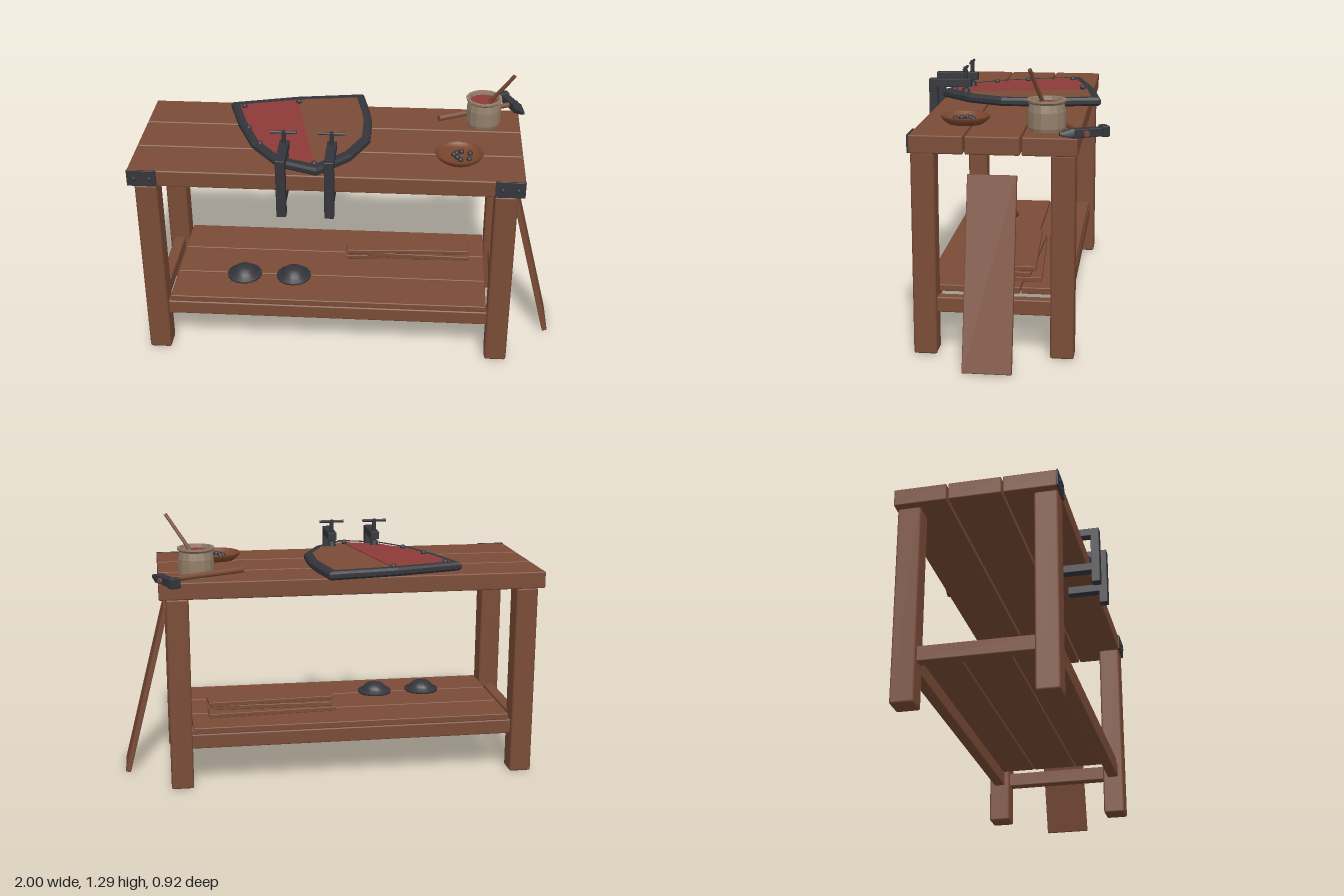
import * as THREE from 'three';
import { RoundedBoxGeometry } from 'three/addons/geometries/RoundedBoxGeometry.js';

const mat = (name, color, extra = {}) => new THREE.MeshStandardMaterial({ name, color, ...extra });

export function createModel() {
  const wood = mat('wood', 0x7a4b36);
  const bowlWood = mat('bowlWood', 0x78452c);
  const iron = mat('iron', 0x34353b);
  const red = mat('redPaint', 0x8c3a38);
  const clay = mat('clay', 0x917e68, { flatShading: true, side: THREE.DoubleSide });
  const root = new THREE.Group();
  root.name = 'workbench';

  const add = (name, geo, m, x = 0, y = 0, z = 0, parent = root) => {
    const mesh = new THREE.Mesh(geo, m);
    mesh.name = name;
    mesh.position.set(x, y, z);
    parent.add(mesh);
    return mesh;
  };
  // Box given by its limits, with softened edges
  const block = (name, m, [x0, x1], [y0, y1], [z0, z1], parent = root, r = 0.006) =>
    add(name, new RoundedBoxGeometry(x1 - x0, y1 - y0, z1 - z0, 1, r), m,
      (x0 + x1) / 2, (y0 + y1) / 2, (z0 + z1) / 2, parent);
  // Round rod between two points
  const rod = (name, m, a, b, r0, r1 = r0, sides = 8, parent = root) => {
    const p = new THREE.Vector3(...a), q = new THREE.Vector3(...b);
    const d = q.clone().sub(p);
    const mesh = add(name, new THREE.CylinderGeometry(r1, r0, d.length(), sides), m, 0, 0, 0, parent);
    mesh.position.copy(p).add(q).multiplyScalar(0.5);
    mesh.quaternion.setFromUnitVectors(new THREE.Vector3(0, 1, 0), d.normalize());
    return mesh;
  };
  const lathe = (pts, sides) =>
    new THREE.LatheGeometry(pts.map(([x, y]) => new THREE.Vector2(x, y)), sides);

  // Table top, legs and lower frame
  for (const z of [[-0.335, -0.097], [-0.09, 0.147], [0.154, 0.39]])
    block('topPlank', wood, [-1, 0.81], [0.92, 1], z);
  for (const x of [[-0.97, -0.865], [0.675, 0.78]]) {
    for (const z of [[-0.325, -0.22], [0.283, 0.388]]) block('leg', wood, x, [0, 0.92], z, root, 0.01);
    const c = (x[0] + x[1]) / 2;
    block('sideRail', wood, [c - 0.027, c + 0.027], [0.19, 0.26], [-0.23, 0.29]);
  }
  for (const z of [-0.272, 0.335])
    block('longRail', wood, [-0.87, 0.68], [0.19, 0.26], [z - 0.027, z + 0.027]);
  for (let i = 0; i < 3; i++) {
    const z = -0.295 + i * 0.219;
    block('shelfPlank', wood, [-0.855, 0.67], [0.26, 0.29], [z, z + 0.214], root, 0.004);
  }

  // Iron corner plates on the front edge
  for (const x of [-0.932, 0.742]) {
    block('cornerPlate', iron, [x - 0.068, x + 0.068], [0.922, 1.002], [0.387, 0.396], root, 0.002);
    for (const dx of [-0.035, 0.035]) {
      const bolt = add('plateBolt', new THREE.SphereGeometry(0.01, 8, 6), iron, x + dx, 0.96, 0.396);
      bolt.scale.z = 0.7;
    }
  }

  // Plank leaning on the right end
  const lean = add('leaningPlank', new RoundedBoxGeometry(0.025, 0.85, 0.215, 1, 0.004), wood, 0.881, 0.416, 0.032);
  lean.rotation.z = 0.25;

  // Stacked boards on the shelf
  [[0.28, 0.302, -0.09, 0.05, 0.62], [0.29, 0.327, -0.065, -0.03, 0.61], [0.285, 0.351, -0.065, 0.045, 0.61]]
    .forEach(([x, y, z, turn, len]) => {
      const b = add('stackedBoard', new RoundedBoxGeometry(len, 0.021, 0.12, 1, 0.003), wood, x, y, z);
      b.rotation.y = turn;
    });

  // Iron domes on the shelf
  for (const x of [-0.52, -0.275])
    add('ironDome', lathe([[0, 0], [0.085, 0], [0.085, 0.01], [0.063, 0.013], [0.058, 0.028],
      [0.042, 0.043], [0.022, 0.05], [0, 0.052]], 16), iron, x, 0.29, 0.15);

  // Shield: outline as (x, z), first entry and seventh lie on the dividing line
  const outline = [[-0.29, -0.345], [0.04, -0.395], [0.08, -0.21], [0.096, -0.1], [0.096, 0.08], [0.02, 0.25],
    [-0.13, 0.4], [-0.325, 0.325], [-0.455, 0.16], [-0.545, -0.05], [-0.612, -0.26]];
  const inset = (s) => outline.map(([x, z]) =>
    new THREE.Vector2(-0.23 + (x + 0.23) * s, -(z * s)));
  const slab = (shape, depth, bevel = 0) => new THREE.ExtrudeGeometry(shape, {
    depth: depth - 2 * bevel, bevelEnabled: bevel > 0, bevelSize: bevel,
    bevelThickness: bevel, bevelOffset: -bevel, bevelSegments: 1,
  }).translate(0, 0, bevel).rotateX(-Math.PI / 2);
  const shield = new THREE.Group();
  shield.name = 'shield';
  root.add(shield);
  add('shieldBoard', slab(new THREE.Shape(inset(0.96)), 0.026), wood, 0, 1.003, 0, shield);
  const rim = new THREE.Shape(inset(1));
  rim.holes.push(new THREE.Path(inset(0.91)));
  add('shieldRim', slab(rim, 0.04, 0.011), iron, 0, 1.001, 0, shield);
  const inner = inset(0.93);
  add('paintedHalf', slab(new THREE.Shape([inner[0], ...inner.slice(6)]), 0.004), red, 0, 1.029, 0, shield);
  for (const [x, z] of [[-0.54, -0.22], [-0.278, -0.288], [-0.487, 0.01], [-0.415, 0.163], [-0.145, 0.34]])
    add('shieldRivet', new THREE.SphereGeometry(0.014, 10, 8), iron, x, 1.038, z, shield);

  // Two screw clamps on the front edge
  for (const x of [-0.288, -0.07]) {
    const clamp = new THREE.Group();
    clamp.name = 'clamp';
    clamp.position.x = x;
    root.add(clamp);
    const w = [-0.022, 0.022];
    block('clampSpine', iron, w, [0.817, 1.105], [0.414, 0.455], clamp, 0.003);
    block('clampUpperArm', iron, w, [1.066, 1.105], [0.245, 0.43], clamp, 0.003);
    block('clampLowerArm', iron, w, [0.878, 0.918], [0.26, 0.43], clamp, 0.003);
    rod('clampScrew', iron, [0, 1.04, 0.275], [0, 1.165, 0.275], 0.01, 0.01, 8, clamp);
    rod('clampPad', iron, [0, 1.034, 0.275], [0, 1.058, 0.275], 0.023, 0.018, 10, clamp);
    rod('clampHandle', iron, [-0.06, 1.158, 0.275], [0.06, 1.158, 0.275], 0.007, 0.007, 8, clamp);
  }

  // Shallow bowl of nails
  add('bowl', lathe([[0, 0], [0.08, 0], [0.1, 0.015], [0.112, 0.032], [0.108, 0.037], [0.098, 0.032],
    [0.085, 0.016], [0, 0.012]], 24), bowlWood, 0.512, 1, 0.185);
  for (const [x, z] of [[-0.025, -0.005], [0.05, -0.02], [0.005, 0.045], [-0.01, 0.02], [0.045, 0.035], [-0.012, -0.02], [0.01, -0.035]])
    add('nailHead', new THREE.SphereGeometry(0.013, 8, 6), iron, 0.512 + x, 1.02, 0.185 + z);

  // Clay pot with paint and a stirring stick
  add('pot', lathe([[0, 0], [0.078, 0], [0.083, 0.015], [0.083, 0.085], [0.076, 0.118], [0.087, 0.128],
    [0.087, 0.136], [0.073, 0.136], [0.068, 0.11]], 14), clay, 0.632, 1, -0.188);
  add('potPaint', new THREE.CylinderGeometry(0.071, 0.071, 0.008, 14), red, 0.632, 1.115, -0.188);
  rod('stirringStick', wood, [0.625, 1.07, -0.19], [0.765, 1.282, -0.127], 0.01, 0.009, 6);

  // Hammer lying over the back corner: local x runs along the handle
  const hammer = new THREE.Group();
  hammer.name = 'hammer';
  hammer.position.set(0.78, 1.022, -0.36);
  hammer.rotation.y = Math.atan2(0.18, 0.365);
  root.add(hammer);
  rod('hammerHandle', wood, [-0.405, 0, 0], [0.03, 0, 0], 0.015, 0.013, 8, hammer);
  block('hammerHead', iron, [-0.02, 0.02], [-0.019, 0.019], [-0.085, 0.055], hammer, 0.004);
  block('hammerFace', iron, [-0.026, 0.026], [-0.022, 0.026], [-0.108, -0.072], hammer, 0.006);
  const peen = new THREE.CylinderGeometry(0.009, 0.028, 0.06, 4).rotateY(Math.PI / 4).rotateX(Math.PI / 2);
  add('hammerPeen', peen, iron, 0, 0, 0.083, hammer);

  return root;
}
